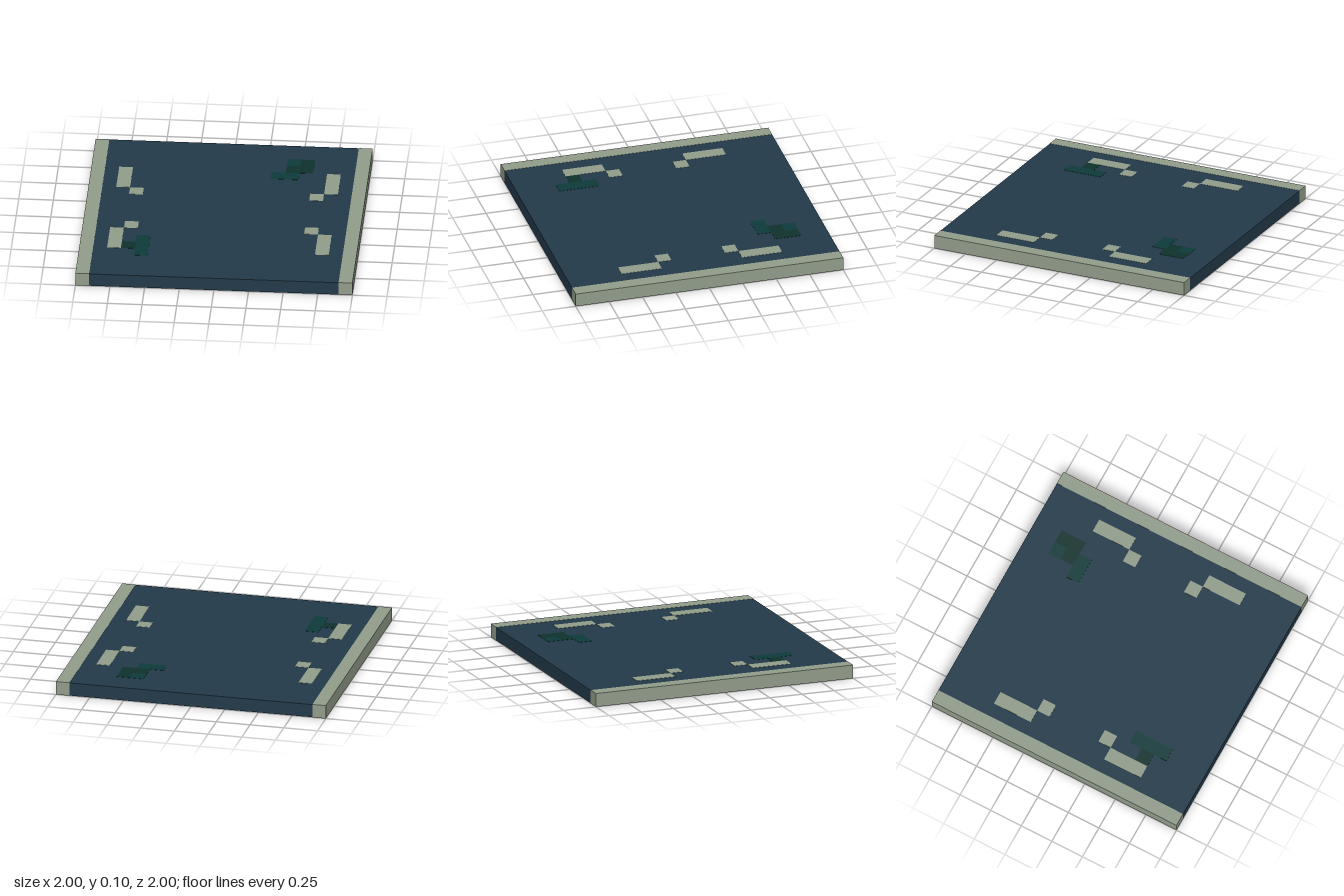
import * as THREE from 'three';

const material = (name, color) => {
  const m = new THREE.MeshStandardMaterial({ color });
  m.name = name;
  return m;
};

export function createModel() {
  const model = new THREE.Group();
  model.name = 'floorPanel';
  const navy = material('navy', 0x223a4a);
  const stone = material('stoneGrey', 0x929d8b);
  const teal = material('darkTeal', 0x0d3b3a);
  const moss = material('darkGreen', 0x0f332c);

  const H = 0.1;
  const LIFT = 0.0015;

  // Box spanning x0..x1, y0..y1, z0..z1
  function box(name, mat, x0, x1, y0, y1, z0, z1) {
    const mesh = new THREE.Mesh(new THREE.BoxGeometry(x1 - x0, y1 - y0, z1 - z0), mat);
    mesh.position.set((x0 + x1) / 2, (y0 + y1) / 2, (z0 + z1) / 2);
    mesh.name = name;
    model.add(mesh);
  }

  // Thin painted plates on both the top and the underside
  function inlay(name, mat, x0, x1, z0, z1) {
    box(name + 'Top', mat, x0, x1, H - 2 * LIFT, H, z0, z1);
    box(name + 'Bottom', mat, x0, x1, 0, 2 * LIFT, z0, z1);
  }

  // Slab and side rails
  box('slab', navy, -0.9, 0.9, LIFT, H - LIFT, -1, 1);
  box('leftRail', stone, 0.9, 1, 0, H, -1, 1);
  box('rightRail', stone, -1, -0.9, 0, H, -1, 1);

  // Four mirrored corner marks: a long bar and a small square
  for (const sx of [-1, 1]) {
    for (const sz of [-1, 1]) {
      const mark = (name, a, b, c, d) => inlay(name, stone,
        Math.min(sx * a, sx * b), Math.max(sx * a, sx * b),
        Math.min(sz * c, sz * d), Math.max(sz * c, sz * d));
      mark('markBar', 0.7, 0.8, 0.3, 0.6);
      mark('markSquare', 0.6, 0.7, 0.2, 0.3);
    }
  }

  // Patch at the back left
  inlay('backPatchCorner', teal, 0.4, 0.5, -0.8, -0.7);
  inlay('backPatchFoot', teal, 0.3, 0.5, -0.6, -0.5);
  inlay('backPatchBar', moss, 0.5, 0.6, -0.8, -0.6);
  inlay('backPatchSquare', moss, 0.4, 0.5, -0.7, -0.6);

  // Patch at the front right
  inlay('frontPatchBar', teal, -0.6, -0.5, 0.4, 0.7);
  inlay('frontPatchSquare', moss, -0.7, -0.6, 0.5, 0.6);

  return model;
}
